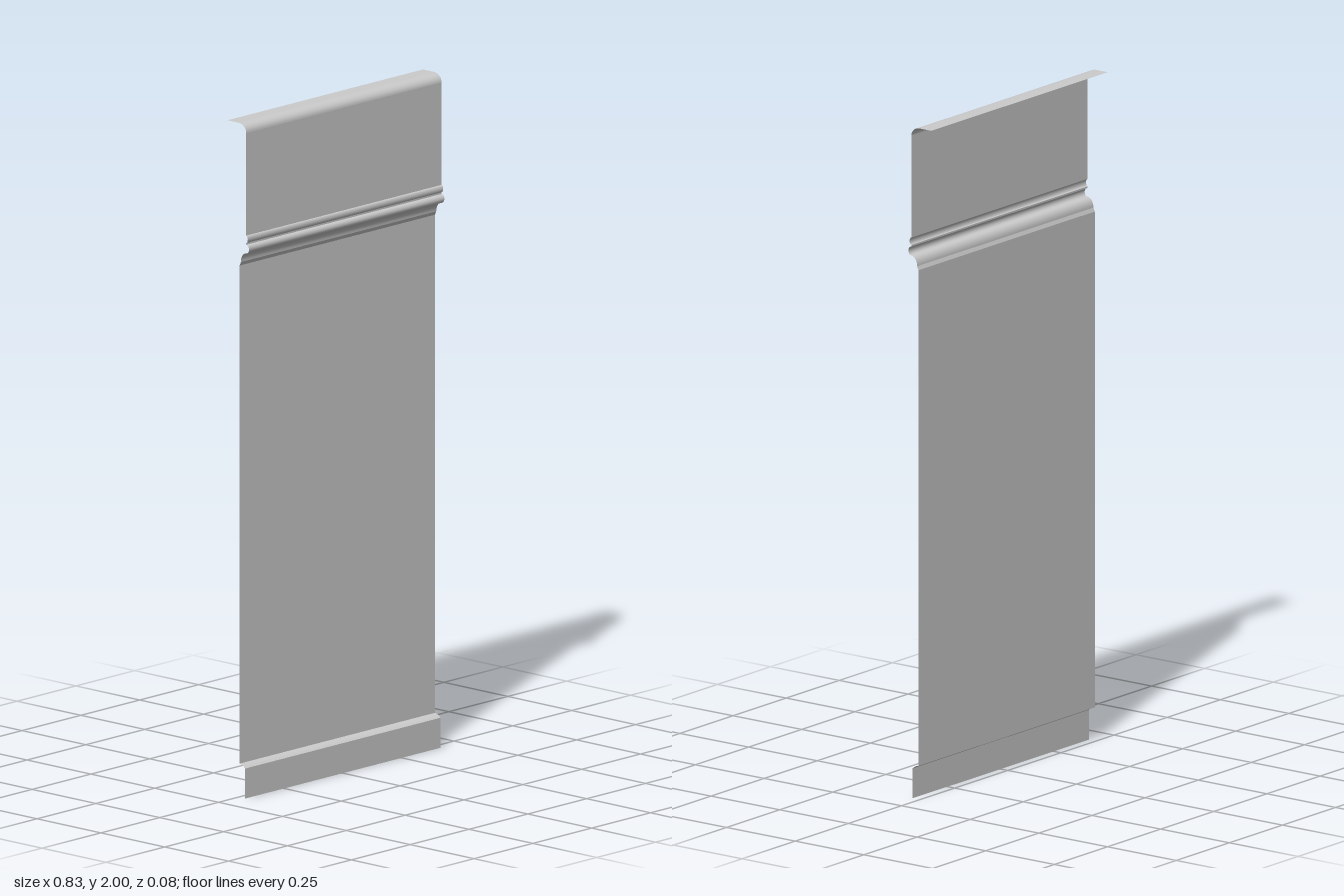
import * as THREE from 'three';

const HALF_WIDTH = 0.415;
const material = new THREE.MeshStandardMaterial({ color: 0xcccccc, side: THREE.DoubleSide });

// Sheet swept across x from a list of [z, y] points running top to bottom
function sheet(name, points) {
  const positions = [], index = [];
  points.forEach(([z, y], i) => {
    positions.push(-HALF_WIDTH, y, z, HALF_WIDTH, y, z);
    if (i > 0) {
      const a = 2 * (i - 1), b = 2 * i;
      index.push(a, b, b + 1, a, b + 1, a + 1);
    }
  });
  const geometry = new THREE.BufferGeometry();
  geometry.setAttribute('position', new THREE.Float32BufferAttribute(positions, 3));
  geometry.setIndex(index);
  geometry.computeVertexNormals();
  const mesh = new THREE.Mesh(geometry, material);
  mesh.name = name;
  return mesh;
}

// Elliptical arc in the profile plane, angles in quarter turns
function arc(cz, cy, rz, ry, from, to, steps = 8) {
  return Array.from({ length: steps + 1 }, (_, i) => {
    const t = (from + (to - from) * i / steps) * Math.PI / 2;
    return [cz + rz * Math.cos(t), cy + ry * Math.sin(t)];
  });
}

export function createModel() {
  const group = new THREE.Group();
  group.name = 'wallPanel';

  const wallZ = 0.03, panelZ = 0.004, skirtZ = 0.026;

  group.add(
    // Top lip folded back over a rounded edge
    sheet('topLip', [[-0.043, 2], [0.0, 2]]),
    sheet('topBend', arc(0.0, 1.974, wallZ, 0.026, 1, 0)),
    sheet('upperPanel', [[wallZ, 1.974], [wallZ, 1.67]]),

    // Moulding: small bead, main bead, then a cove running back to the panel
    sheet('smallBead', arc(wallZ, 1.659, 0.006, 0.011, 1, -1)),
    sheet('beadGroove', [[wallZ, 1.648], [wallZ, 1.643]]),
    sheet('mainBead', arc(wallZ, 1.63, 0.011, 0.013, 1, -1)),
    sheet('cove', arc(wallZ, 1.588, -0.021, 0.029, 1, 0)),
    sheet('coveFoot', [[0.009, 1.588], [panelZ, 1.577]]),

    sheet('mainPanel', [[panelZ, 1.577], [panelZ, 0.1]]),

    // Stepped skirt at the bottom
    sheet('skirtStep', [[panelZ, 0.1], [0.012, 0.098], [0.02, 0.094], [skirtZ, 0.089]]),
    sheet('skirt', [[skirtZ, 0.089], [skirtZ, 0]])
  );
  return group;
}
